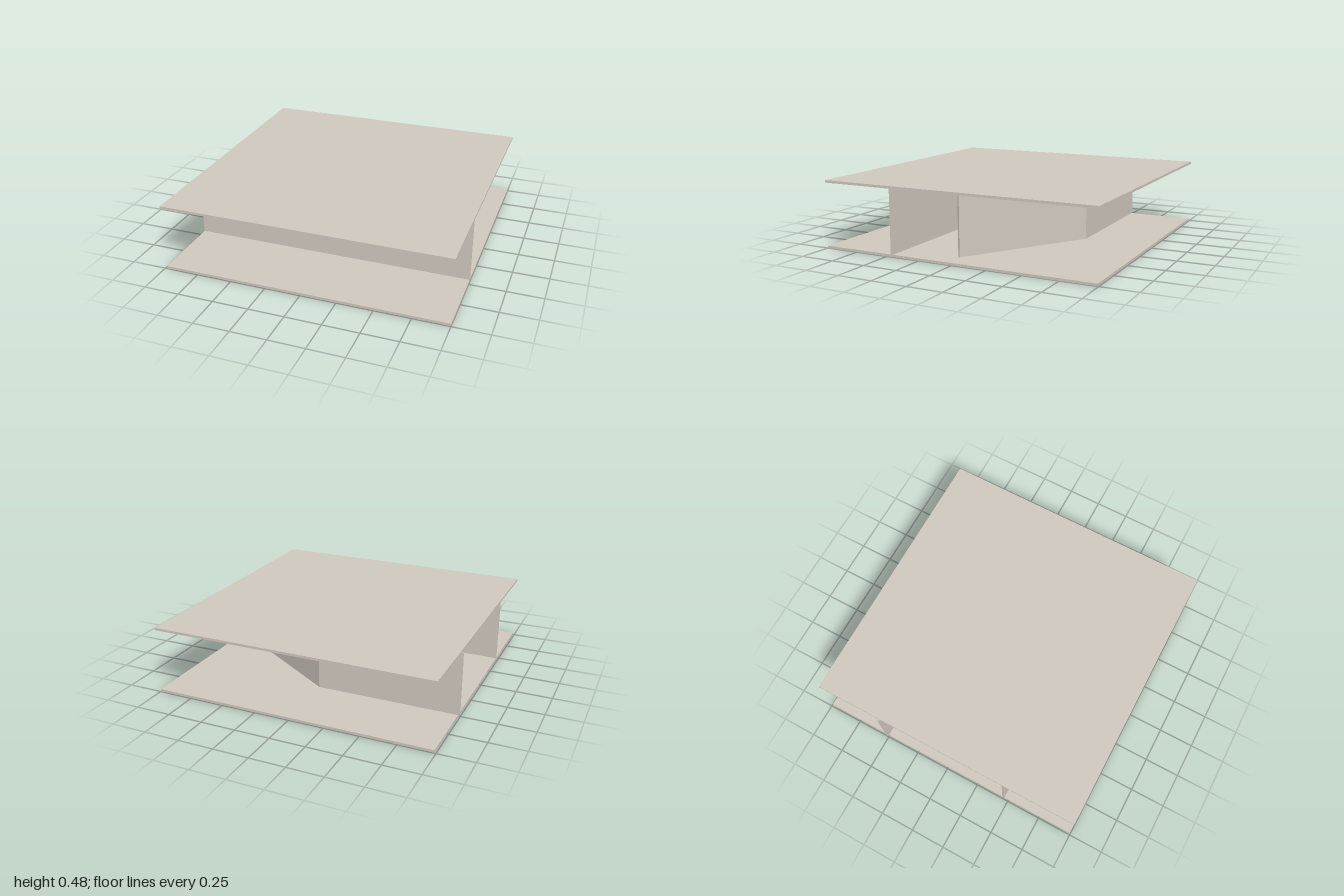
import * as THREE from 'three';

const HALF = 0.995;    // half the side of each square slab
const HEIGHT = 0.476;  // overall height
const T = 0.017;       // thickness of slabs and walls
const SHIFT = 0.005;   // slabs sit slightly towards +x

export function createModel() {
  const group = new THREE.Group();
  const plaster = new THREE.MeshStandardMaterial({ color: 0xd0c8be });
  plaster.name = 'warm grey plaster';

  const add = (name, geometry, x = 0, y = 0, z = 0) => {
    const mesh = new THREE.Mesh(geometry, plaster);
    mesh.name = name;
    mesh.position.set(x, y, z);
    group.add(mesh);
  };

  // Floor and roof slabs
  const slab = new THREE.BoxGeometry(HALF * 2, T, HALF * 2);
  add('floorSlab', slab, SHIFT, T / 2, 0);
  add('roofSlab', slab, SHIFT, HEIGHT - T / 2, 0);

  // Straight front wall, the full width of the slabs
  const wallHeight = HEIGHT - 2 * T;
  add('frontWall', new THREE.BoxGeometry(HALF * 2, wallHeight, T), SHIFT, HEIGHT / 2, 0.46);

  // Bent rear wall: straight half, mitred into an angled half
  const start = new THREE.Vector2(-1, -0.51);
  const bend = new THREE.Vector2(0.01, -0.51);
  const end = new THREE.Vector2(0.855, 0.031);
  const angle = Math.atan2(end.y - bend.y, end.x - bend.x);
  const h = T / 2;
  const miter = h * Math.tan(angle / 2);
  const side = (s) => [
    [start.x, start.y + s * h],
    [bend.x - s * miter, bend.y + s * h],
    [end.x - s * h * Math.sin(angle), end.y + s * h * Math.cos(angle)],
  ];
  // Plan drawn with z negated, so that the extrusion stands up along y
  const outline = [...side(1), ...side(-1).reverse()].map(([x, z]) => new THREE.Vector2(x, -z));
  const bent = new THREE.ExtrudeGeometry(new THREE.Shape(outline), { depth: wallHeight, bevelEnabled: false });
  bent.rotateX(-Math.PI / 2);
  add('bentRearWall', bent, 0, T, 0);

  return group;
}
